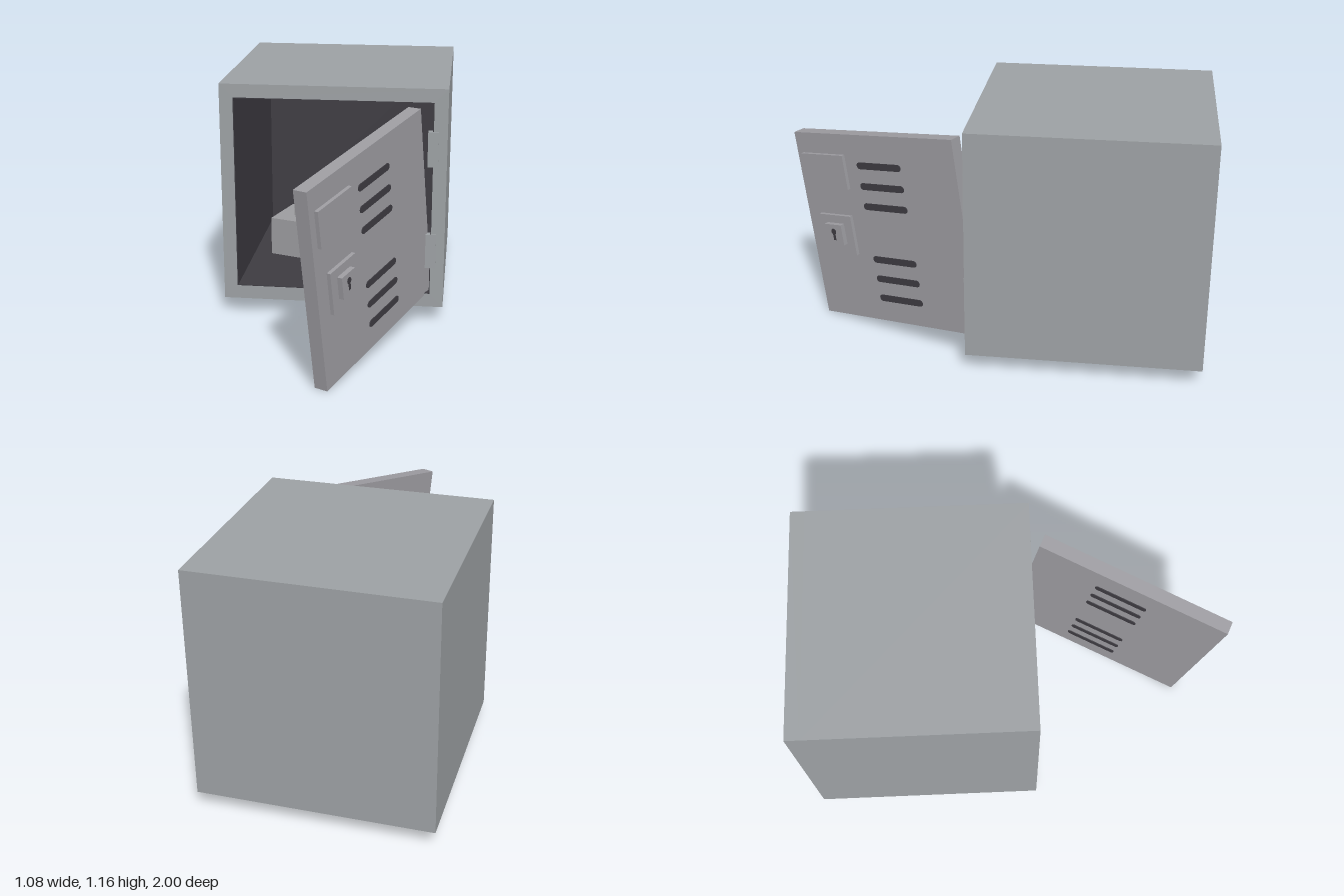
import * as THREE from 'three';

const mat = (name, color) => {
  const m = new THREE.MeshStandardMaterial({ color });
  m.name = name;
  return m;
};

export function createModel() {
  const steel = mat('steel grey', 0x9ca0a3);
  const doorGrey = mat('door grey', 0x9c9ba0);
  const dark = mat('dark interior', 0x3d3b41);
  const pale = mat('contents grey', 0x9c9c9f);

  const root = new THREE.Group();
  root.name = 'openLocker';

  const add = (parent, name, geometry, material, x = 0, y = 0, z = 0) => {
    const mesh = new THREE.Mesh(geometry, material);
    mesh.name = name;
    mesh.position.set(x, y, z);
    parent.add(mesh);
    return mesh;
  };
  const box = (parent, name, material, w, h, d, x, y, z) =>
    add(parent, name, new THREE.BoxGeometry(w, h, d), material, x, y, z);

  // Cabinet: square tube closed by a back panel
  const cabinet = new THREE.Group();
  cabinet.name = 'cabinet';
  root.add(cabinet);
  const rect = (T, x0, y0, x1, y1) => {
    const s = new T();
    s.moveTo(x0, y0).lineTo(x1, y0).lineTo(x1, y1).lineTo(x0, y1).closePath();
    return s;
  };
  const shell = rect(THREE.Shape, -0.54, 0.08, 0.54, 1.165);
  shell.holes.push(rect(THREE.Path, -0.475, 0.147, 0.475, 1.1));
  add(cabinet, 'shell', new THREE.ExtrudeGeometry(shell, { depth: 1.02, bevelEnabled: false }),
    steel, 0, 0, -0.935);
  box(cabinet, 'backPanel', steel, 1.08, 1.085, 0.065, 0, 0.6225, -0.9675);

  // Dark lining on the five inner faces
  const t = 0.004;
  for (const s of [-1, 1]) {
    box(cabinet, 'sideLining', dark, t, 0.953, 1.018, s * (0.475 - t / 2), 0.6235, -0.425);
    box(cabinet, 'floorOrCeilingLining', dark, 0.95, t, 1.018, 0, 0.6235 + s * (0.4765 - t / 2), -0.425);
  }
  box(cabinet, 'backLining', dark, 0.95, 0.953, t, 0, 0.6235, -0.932);

  // Hinge leaves on the left post
  for (const y of [0.37, 0.876]) box(cabinet, 'hinge', steel, 0.05, 0.17, 0.034, 0.474, y, 0.076);

  // Door: swung open and sagging; its own z = 0 is the outer face
  const door = new THREE.Group();
  door.name = 'door';
  door.position.set(0.243, 0.5437, 0.511);
  door.rotation.set(0, THREE.MathUtils.degToRad(64.2), THREE.MathUtils.degToRad(9));
  root.add(door);
  box(door, 'doorPanel', doorGrey, 0.95, 0.95, 0.065, 0, 0, -0.0325);

  // Vent slots, showing on both faces of the door
  const r = 0.0165, half = 0.115;
  const slot = new THREE.Shape();
  slot.absarc(half, 0, r, -Math.PI / 2, Math.PI / 2, false);
  slot.absarc(-half, 0, r, Math.PI / 2, Math.PI * 1.5, false);
  const slotGeometry = new THREE.ExtrudeGeometry(slot, { depth: 0.073, bevelEnabled: false, curveSegments: 8 });
  for (const y of [0.325, 0.222, 0.121, -0.15, -0.251, -0.352])
    add(door, 'ventSlot', slotGeometry, dark, 0.028, y, -0.069);

  // Label plate, lock plate and lock
  box(door, 'labelPlate', doorGrey, 0.262, 0.17, 0.018, -0.306, 0.289, 0.009);
  box(door, 'lockPlate', doorGrey, 0.2, 0.2, 0.018, -0.293, -0.034, 0.009);
  box(door, 'lock', doorGrey, 0.104, 0.104, 0.042, -0.294, -0.026, 0.021);
  const keyTop = add(door, 'keyholeTop', new THREE.CylinderGeometry(0.015, 0.015, 0.004, 16),
    dark, -0.294, -0.01, 0.042);
  keyTop.rotation.x = Math.PI / 2;
  box(door, 'keyholeSlot', dark, 0.014, 0.045, 0.004, -0.294, -0.032, 0.042);

  // Small container with a square knob, turned on the floor
  const container = new THREE.Group();
  container.name = 'container';
  container.position.set(-0.218, 0.15, -0.45);
  container.rotation.y = -0.31;
  root.add(container);
  box(container, 'containerBody', pale, 0.258, 0.2, 0.258, 0, 0.1, 0);
  box(container, 'containerKnob', pale, 0.075, 0.04, 0.075, 0, 0.22, 0);

  // Lidded jar behind the door
  const jar = new THREE.Group();
  jar.name = 'jar';
  jar.position.set(0.14, 0.15, -0.5);
  root.add(jar);
  add(jar, 'jarBody', new THREE.CylinderGeometry(0.15, 0.15, 0.15, 32), pale, 0, 0.075, 0);
  add(jar, 'jarLid', new THREE.CylinderGeometry(0.18, 0.18, 0.05, 32), pale, 0, 0.175, 0);
  add(jar, 'jarKnob', new THREE.CylinderGeometry(0.05, 0.05, 0.05, 24), pale, 0, 0.225, 0);

  return root;
}
